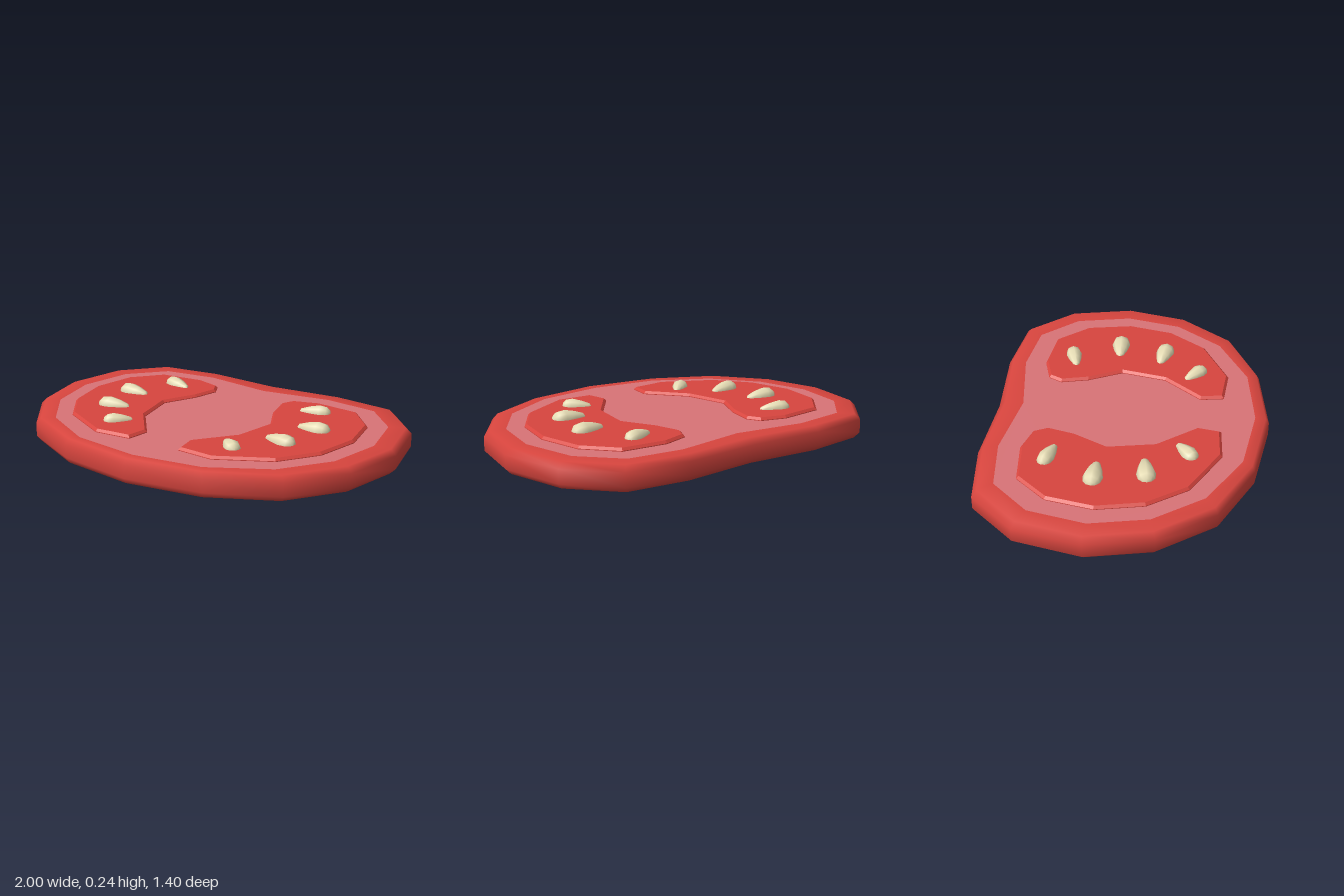
import * as THREE from 'three';

const MID = 0.1225; // height of the slice's middle plane

// Half outlines as [x, z], from the back notch round to the front
const skinHalf = [[0, -0.68], [0.4, -0.705], [0.73, -0.665], [0.93, -0.44], [1, -0.11], [0.93, 0.21], [0.73, 0.48], [0.4, 0.64], [0, 0.7]];
const fleshHalf = [[0, -0.555], [0.37, -0.61], [0.655, -0.575], [0.825, -0.39], [0.885, -0.105], [0.825, 0.18], [0.65, 0.42], [0.36, 0.58], [0, 0.63]];
const podOutline = [[0.24, -0.46], [0.375, -0.5], [0.61, -0.475], [0.745, -0.32], [0.79, -0.085], [0.74, 0.15], [0.605, 0.34],
  [0.34, 0.48], [0.145, 0.465], [0.125, 0.345], [0.28, 0.15], [0.325, -0.08], [0.24, -0.25], [0.205, -0.39]];

// Seeds: x, z, direction of the fat end in degrees, length, width, height
const seeds = [
  [0.43, -0.352, -16, 0.165, 0.085, 0.084],
  [0.55, -0.115, -3, 0.175, 0.1, 0.092],
  [0.5, 0.125, 10, 0.175, 0.098, 0.092],
  [0.335, 0.305, 40, 0.15, 0.085, 0.08],
];

const mirrorX = (half) => [...half, ...half.slice(1, -1).reverse().map(([x, z]) => [-x, z])];

// Slab of an [x, z] outline, centred on the middle plane, with a chamfered edge
function slab(outline, height, bevel) {
  const shape = new THREE.Shape(outline.map(([x, z]) => new THREE.Vector2(x, -z)));
  const geo = new THREE.ExtrudeGeometry(shape, {
    depth: height - 2 * bevel, bevelEnabled: bevel > 0, bevelThickness: bevel,
    bevelSize: bevel, bevelOffset: -bevel, bevelSegments: 1,
  });
  geo.translate(0, 0, bevel - height / 2);
  geo.rotateX(-Math.PI / 2);
  geo.translate(0, MID, 0);
  return geo;
}

// Smooth skin band lofted from the upper inner edge, round the outside, to the lower one
function skinBand(outer, inner) {
  const rings = [[1, 0.0625], [0.25, 0.0625], [0, 0.034], [0, -0.034], [0.25, -0.0625], [1, -0.0625]];
  const n = outer.length, pos = [], index = [];
  rings.forEach(([t, y], i) => {
    outer.forEach(([x, z], j) => {
      pos.push(x + (inner[j][0] - x) * t, MID + y, z + (inner[j][1] - z) * t);
      if (i === rings.length - 1) return;
      const a = i * n + j, b = i * n + (j + 1) % n;
      index.push(a, b, a + n, b, b + n, a + n);
    });
  });
  const geo = new THREE.BufferGeometry();
  geo.setAttribute('position', new THREE.Float32BufferAttribute(pos, 3));
  geo.setIndex(index);
  geo.computeVertexNormals();
  return geo;
}

// Unit teardrop lying along x, fat end towards +x
function seedGeometry() {
  const profile = [[0, -0.5], [0.2, -0.43], [0.38, -0.15], [0.5, 0.15], [0.43, 0.36], [0.24, 0.47], [0, 0.5]];
  const geo = new THREE.LatheGeometry(profile.map(([r, h]) => new THREE.Vector2(r, h)), 8);
  geo.rotateZ(-Math.PI / 2);
  return geo;
}

export function createModel() {
  const mat = (name, color) => Object.assign(new THREE.MeshStandardMaterial({ color }), { name });
  const red = mat('tomato red', 0xd8453e);
  const pink = mat('flesh pink', 0xd97377);
  const cream = mat('seed cream', 0xe6ddb5);

  const model = new THREE.Group();
  model.name = 'tomatoSlice';
  const add = (parent, name, geo, material) => {
    const mesh = new THREE.Mesh(geo, material);
    mesh.name = name;
    parent.add(mesh);
    return mesh;
  };

  const fleshOutline = mirrorX(fleshHalf);
  add(model, 'skin', skinBand(mirrorX(skinHalf), fleshOutline), red);
  add(model, 'flesh', slab(fleshOutline, 0.125, 0), pink);

  const seedGeo = seedGeometry();
  for (const [side, s] of [['left', 1], ['right', -1]]) {
    // Seed pocket standing proud of both faces
    add(model, side + 'Pocket', slab(podOutline.map(([x, z]) => [x * s, z]), 0.156, 0.012), red);

    // Seeds half sunk into the top and bottom of the pocket
    const group = new THREE.Group();
    group.name = side + 'Seeds';
    model.add(group);
    for (const [x, z, degrees, length, width, height] of seeds) {
      const angle = -THREE.MathUtils.degToRad(degrees);
      for (const v of [1, -1]) {
        const seed = add(group, v > 0 ? 'topSeed' : 'bottomSeed', seedGeo, cream);
        seed.position.set(x * s, MID + v * 0.0745, z);
        seed.rotation.y = s > 0 ? angle : Math.PI - angle;
        seed.scale.set(length, height, width);
      }
    }
  }
  return model;
}
